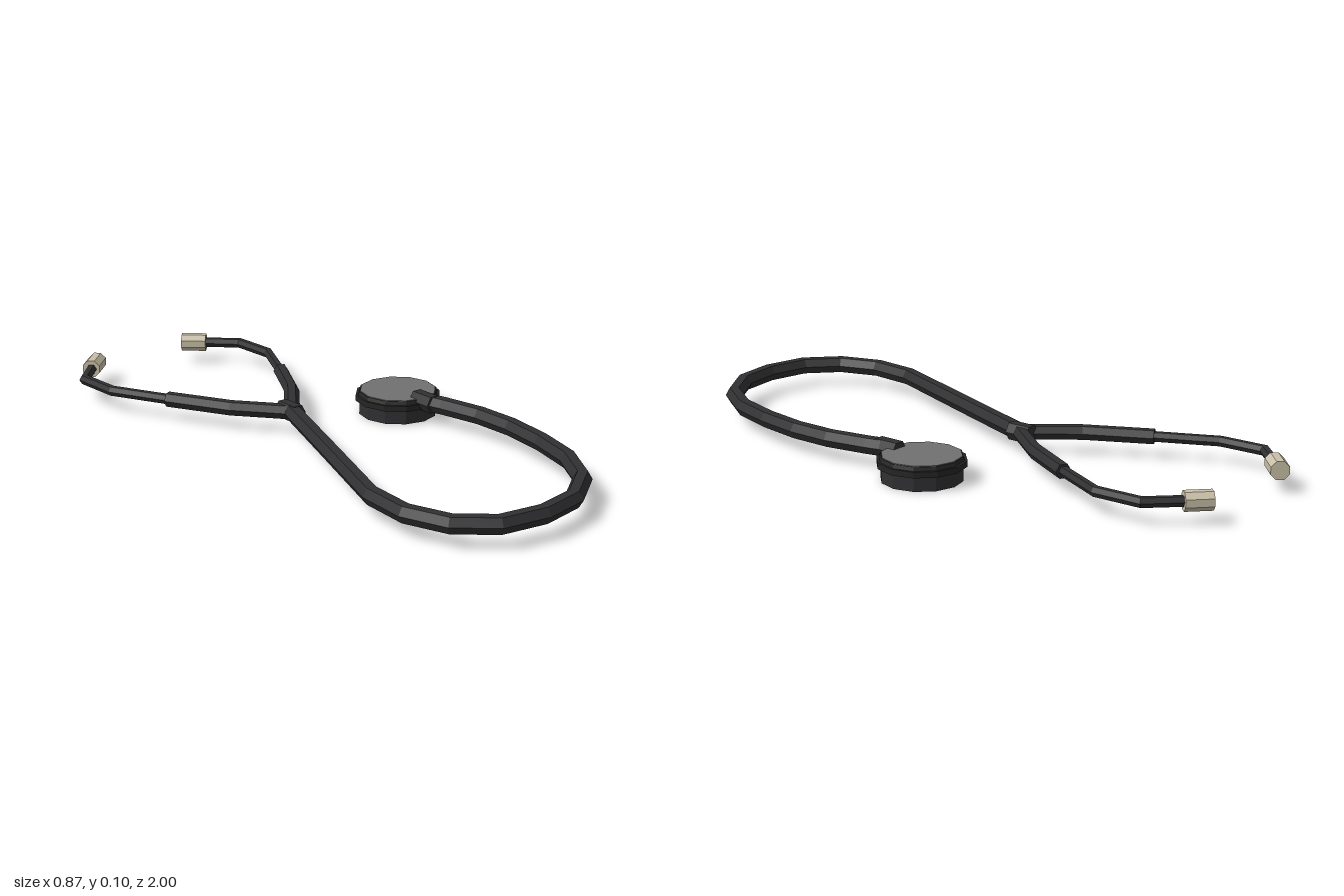
import * as THREE from 'three';

const material = (name, color) => {
  const m = new THREE.MeshStandardMaterial({ color });
  m.name = name;
  return m;
};

// Faceted tube along a flat path of [x, z] points, with mitred corners and closed ends
function facetedTube(path, radius, y, sides, turn = 0) {
  const up = new THREE.Vector3(0, 1, 0);
  const pts = path.map(([x, z]) => new THREE.Vector3(x, y, z));
  const last = pts.length - 1;
  const rings = pts.map((p, i) => {
    const before = pts[Math.max(i, 1)].clone().sub(pts[Math.max(i, 1) - 1]).normalize();
    const next = Math.min(i + 1, last);
    const after = pts[next].clone().sub(pts[next - 1]).normalize();
    const dir = before.clone().add(after).normalize();
    const side = up.clone().cross(dir).divideScalar(dir.dot(after));
    return Array.from({ length: sides }, (_, j) => {
      const a = turn + (j / sides) * Math.PI * 2;
      return p.clone()
        .addScaledVector(side, Math.cos(a) * radius)
        .addScaledVector(up, Math.sin(a) * radius);
    });
  });
  const tris = [];
  for (let j = 0; j < sides; j++) {
    const k = (j + 1) % sides;
    for (let i = 0; i < last; i++) {
      const [a, b, c, d] = [rings[i][j], rings[i][k], rings[i + 1][k], rings[i + 1][j]];
      tris.push(a, b, c, a, c, d);
    }
    tris.push(pts[0], rings[0][k], rings[0][j], pts[last], rings[last][j], rings[last][k]);
  }
  const geometry = new THREE.BufferGeometry().setFromPoints(tris);
  geometry.computeVertexNormals();
  return geometry;
}

// Twelve-sided flat-shaded disc standing on y = bottom
function disc(topRadius, bottomRadius, bottom, top) {
  const indexed = new THREE.CylinderGeometry(topRadius, bottomRadius, top - bottom, 12);
  const geometry = indexed.toNonIndexed();
  geometry.computeVertexNormals();
  geometry.translate(0, (top + bottom) / 2, 0);
  return geometry;
}

export function createModel() {
  const model = new THREE.Group();
  model.name = 'stethoscope';

  const rubber = material('black rubber', 0x303032);
  const rimBlack = material('rim black', 0x262627);
  const grey = material('diaphragm grey', 0x717171);
  const cream = material('ear tip cream', 0xc9c0a8);

  const add = (parent, name, geometry, mat) => {
    const mesh = new THREE.Mesh(geometry, mat);
    mesh.name = name;
    parent.add(mesh);
    return mesh;
  };

  const Y = 0.07;
  const fork = [-0.095, -0.14];

  // Main hose looping from the fork round to the chest piece
  const hose = [
    fork, [-0.22, 0.18], [-0.37, 0.56], [-0.385, 0.72], [-0.34, 0.855], [-0.24, 0.945],
    [-0.095, 0.97], [0.05, 0.945], [0.18, 0.855], [0.265, 0.72], [0.31, 0.565],
    [0.335, 0.41], [0.335, 0.27], [0.31, 0.13], [0.295, 0.07], [0.295, 0.02],
  ];
  add(model, 'mainHose', facetedTube(hose, 0.029, Y, 6), rubber);

  // Collars at the fork and at the chest piece
  add(model, 'forkCollar', facetedTube([[-0.095, -0.19], [-0.095, -0.11]], 0.031, Y, 6), rubber);
  add(model, 'chestCollar', facetedTube([[0.295, 0.015], [0.295, 0.1]], 0.031, Y, 6), rubber);

  // Two arms: soft hose, thin ear tube and ear tip
  const arms = [
    {
      name: 'rightArm',
      hose: [fork, [-0.22, -0.295], [-0.325, -0.495]],
      tube: [[-0.315, -0.475], [-0.415, -0.68], [-0.42, -0.835], [-0.325, -0.93]],
      tip: [[-0.342, -0.915], [-0.275, -0.977]],
    },
    {
      name: 'leftArm',
      hose: [fork, [0.035, -0.305], [0.137, -0.49]],
      tube: [[0.127, -0.472], [0.225, -0.67], [0.22, -0.825], [0.125, -0.92]],
      tip: [[0.135, -0.91], [0.073, -0.968]],
    },
  ];
  for (const arm of arms) {
    const group = new THREE.Group();
    group.name = arm.name;
    add(group, 'armHose', facetedTube(arm.hose, 0.025, Y, 6), rubber);
    add(group, 'earTube', facetedTube(arm.tube, 0.017, Y, 6), rubber);
    add(group, 'earTip', facetedTube(arm.tip, 0.031, Y, 8, Math.PI / 8), cream);
    model.add(group);
  }

  // Chest piece: drum, wider rim, raised plate and grey diaphragm
  const chest = new THREE.Group();
  chest.name = 'chestPiece';
  chest.position.set(0.295, 0, -0.075);
  add(chest, 'drum', disc(0.128, 0.128, 0, 0.047), rubber);
  add(chest, 'rim', disc(0.14, 0.14, 0.046, 0.065), rimBlack);
  add(chest, 'raisedPlate', disc(0.128, 0.132, 0.065, 0.077), rimBlack);
  add(chest, 'diaphragm', disc(0.125, 0.125, 0.076, 0.079), grey);
  model.add(chest);

  return model;
}
